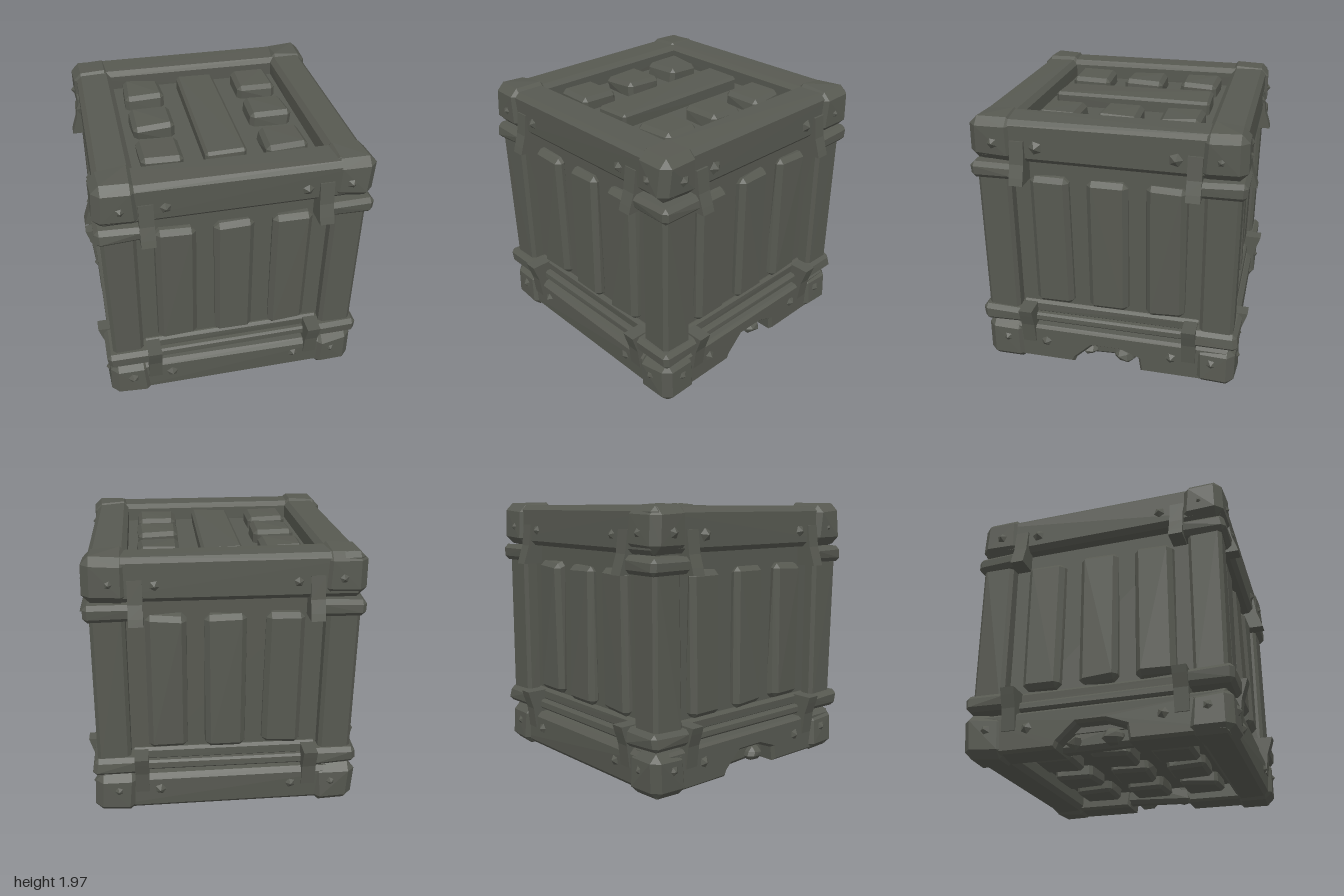
import * as THREE from 'three';
import { ConvexGeometry } from 'three/addons/geometries/ConvexGeometry.js';

const weatheredWood = new THREE.MeshStandardMaterial({ color: 0x575951, flatShading: true });
weatheredWood.name = 'weatheredWood';

// Small seeded generator for the hand-hewn unevenness
let seed = 7;
const rough = (amount) => {
  seed = (seed * 16807) % 2147483647;
  return (seed / 2147483647 - 0.5) * 2 * amount;
};

function add(parent, name, geometry) {
  const mesh = new THREE.Mesh(geometry, weatheredWood);
  mesh.name = name;
  parent.add(mesh);
  return mesh;
}

// Chamfered block between two corners, with slightly uneven corners
function block(parent, name, [x0, x1], [y0, y1], [z0, z1], c = 0.03, j = 0.006) {
  const points = [];
  for (const sx of [0, 1]) for (const sy of [0, 1]) for (const sz of [0, 1]) {
    const x = (sx ? x1 : x0) + rough(j), y = (sy ? y1 : y0) + rough(j), z = (sz ? z1 : z0) + rough(j);
    const cx = sx ? -c : c, cy = sy ? -c : c, cz = sz ? -c : c;
    points.push(
      new THREE.Vector3(x, y + cy, z + cz),
      new THREE.Vector3(x + cx, y, z + cz),
      new THREE.Vector3(x + cx, y + cy, z));
  }
  return add(parent, name, new ConvexGeometry(points));
}

// Strap with a flared lip, lying over a band and a beam
function strap(parent, x, flip) {
  const profile = [[0.84, 1.5], [1.0, 1.5], [0.985, 1.55], [0.955, 1.64], [0.935, 1.8], [0.84, 1.8]];
  const shape = new THREE.Shape(profile.map(([z, y]) => new THREE.Vector2(-z, flip ? 1.98 - y : y)));
  const geometry = new THREE.ExtrudeGeometry(shape, { depth: 0.1, bevelEnabled: false });
  geometry.rotateY(Math.PI / 2).translate(x - 0.05, 0, 0);
  add(parent, 'strap', geometry);
}

function rivet(parent, x, y, z) {
  const geometry = new THREE.ConeGeometry(0.05, 0.035, 5);
  geometry.rotateX(Math.PI / 2).rotateZ(rough(1)).translate(x, y, z);
  add(parent, 'rivet', geometry);
}

// Bottom beam with a broken-out notch
function brokenBeam(parent) {
  const outline = [[-0.88, 0.045], [-0.28, 0.045], [-0.265, 0.08], [-0.13, 0.21], [0.09, 0.21],
    [0.25, 0.15], [0.265, 0.045], [0.88, 0.045], [0.88, 0.295], [-0.88, 0.295]];
  const shape = new THREE.Shape(outline.map(([x, y]) => new THREE.Vector2(x, y)));
  const geometry = new THREE.ExtrudeGeometry(shape,
    { depth: 0.21, bevelSize: 0.02, bevelThickness: 0.025, bevelSegments: 1 });
  geometry.translate(0, 0, 0.69);
  add(parent, 'brokenBeam', geometry);
  block(parent, 'splinteredCore', [-0.28, 0.28], [0.04, 0.26], [0.67, 0.8], 0.03, 0.015);
  block(parent, 'splinter', [0.05, 0.18], [0.04, 0.15], [0.76, 0.87], 0.035, 0.015);
  block(parent, 'splinter', [-0.23, -0.12], [0.05, 0.13], [0.76, 0.84], 0.03, 0.015);
}

// One upright side, built facing +z
function side(index) {
  const group = new THREE.Group();
  group.name = 'side';
  for (const x of [-0.415, 0, 0.415]) {
    block(group, 'wallPlank', [x - 0.14, x + 0.14], [0.5, 1.52], [0.78, 0.885], 0.035, 0.01);
  }
  const reach = index % 2 ? 0.9 : 0.92;
  block(group, 'topBeam', [-reach, reach], [1.64, 1.945], [0.66, 0.925], 0.035, 0.008);
  if (index % 2) brokenBeam(group);
  else block(group, 'bottomBeam', [-reach, reach], [0.025, 0.31], [0.66, 0.925], 0.035, 0.008);
  block(group, 'lowerRail', [-0.66, 0.66], [0.335, 0.405], [0.78, 0.89], 0.015, 0.004);
  block(group, 'lowerLedge', [-0.68, 0.68], [0.39, 0.49], [0.78, 0.85], 0.02, 0.004);
  for (const s of [-1, 1]) {
    for (const flip of [false, true]) {
      strap(group, s * 0.61, flip);
      rivet(group, s * 0.78, flip ? 0.2 : 1.78, 0.955);
      rivet(group, s * 0.48, flip ? 0.19 : 1.76, 0.937);
    }
  }
  group.rotation.y = index * Math.PI / 2;
  return group;
}

// One corner, built at +x +z
function corner(index) {
  const group = new THREE.Group();
  group.name = 'corner';
  block(group, 'cornerPost', [0.68, 0.918], [0.4, 1.58], [0.68, 0.918], 0.025, 0.008);
  const wide = [0.64, 0.95];
  block(group, 'topCornerCap', wide, [1.645, 1.96], wide, 0.055, 0.012);
  block(group, 'bottomCornerCap', wide, [0.01, 0.325], wide, 0.055, 0.012);
  const band = [0.62, 0.957];
  block(group, 'upperBand', band, [1.515, 1.63], band, 0.03, 0.008);
  block(group, 'lowerBand', band, [0.345, 0.47], band, 0.03, 0.008);
  group.rotation.y = index * Math.PI / 2;
  return group;
}

export function createModel() {
  seed = 7;
  const crate = new THREE.Group();
  crate.name = 'crate';

  // Inner body; its ends are the recessed lid and floor
  add(crate, 'body', new THREE.BoxGeometry(1.64, 1.66, 1.64).translate(0, 0.98, 0));

  for (let i = 0; i < 4; i++) crate.add(side(i), corner(i));

  // Lid: centre plank with a row of blocks on either side
  block(crate, 'lidPlank', [-0.14, 0.14], [1.76, 1.91], [-0.58, 0.58], 0.02, 0.006);
  // Floor: three by three blocks
  for (const x of [-0.435, 0, 0.435]) {
    for (const z of [-0.435, 0, 0.435]) {
      const bx = [x - 0.148, x + 0.148], bz = [z - 0.148, z + 0.148];
      if (x !== 0) block(crate, 'lidBlock', bx, [1.76, 1.91], bz, 0.03, 0.01);
      block(crate, 'floorBlock', bx, [0.06, 0.22], bz, 0.025, 0.01);
    }
  }
  return crate;
}
